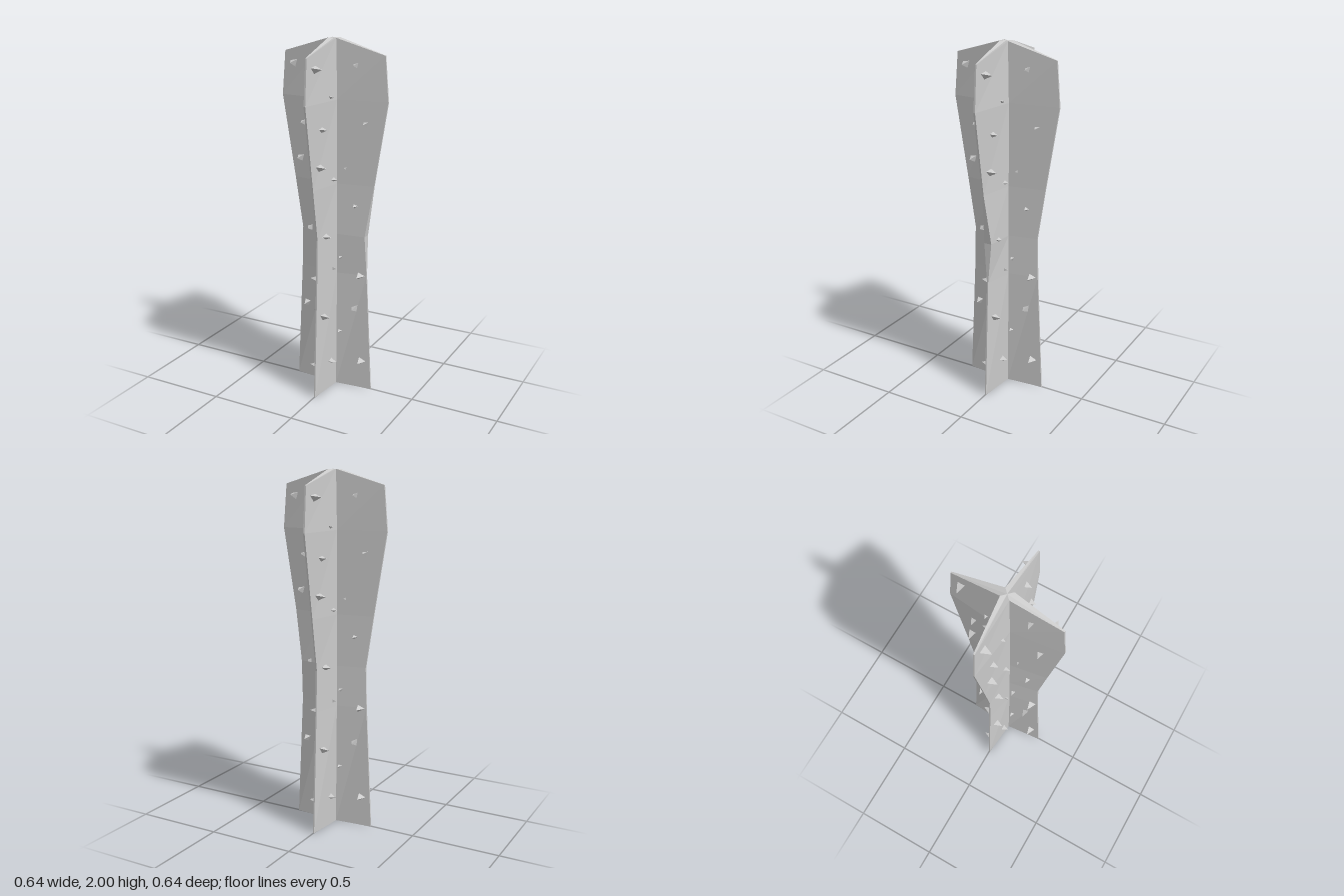
import * as THREE from 'three';

const material = new THREE.MeshStandardMaterial({ color: 0xcccccc, flatShading: true });

// Body levels: height at fin tip, height in valley, fin reach, valley offset, tip half width, bulge of the left fin tip
const LEVELS = [
  [0, 0, 0.24, 0.025, 0.004, 0.004],
  [0.7, 0.7, 0.206, 0.037, 0.004, 0.004],
  [0.93, 0.93, 0.2, 0.037, 0.004, 0.022],
  [1.22, 1.22, 0.245, 0.037, 0.004, 0.004],
  [1.68, 1.68, 0.32, 0.037, 0.005, 0.005],
  [1.92, 2.0, 0.3, 0.024, 0.004, 0.004],
];

// Four thin fins meeting in a cross, lofted through the levels and capped
function bodyGeometry() {
  const pos = [], index = [], n = 12;
  for (const [yTip, yValley, reach, valley, w, bulge] of LEVELS) {
    for (let k = 0; k < 4; k++) {
      const c = Math.cos(k * Math.PI / 2), s = Math.sin(k * Math.PI / 2);
      const t = k === 0 ? bulge : w;
      for (const [u, v, y] of [[reach, -t, yTip], [reach, t, yTip], [valley, valley, yValley]]) {
        pos.push(u * c - v * s, y, -(u * s + v * c));
      }
    }
  }
  const bottom = LEVELS.length * n, top = bottom + 1, last = (LEVELS.length - 1) * n;
  pos.push(0, 0, 0, 0, 2, 0);
  for (let j = 0; j < n; j++) {
    const j2 = (j + 1) % n;
    for (let i = 0; i < last; i += n) {
      index.push(i + j, i + j2, i + n + j2, i + j, i + n + j2, i + n + j);
    }
    index.push(bottom, j2, j, top, last + j, last + j2);
  }
  const geo = new THREE.BufferGeometry();
  geo.setAttribute('position', new THREE.Float32BufferAttribute(pos, 3));
  geo.setIndex(index);
  geo.computeVertexNormals();
  return geo;
}

// Spikes on one side of the cross: x, y, scale, roll
const SPIKES = [
  [-0.24, 1.86, 1, 0.2], [-0.1, 1.7, 0.8, 0], [-0.18, 1.54, 0.9, 0.3],
  [-0.2, 1.34, 1, 0.2], [-0.075, 1.25, 1, 0.5], [-0.14, 0.94, 0.95, 0.4],
  [-0.07, 0.735, 0.85, -0.5], [-0.165, 0.475, 1, 0], [-0.09, 0.17, 1, 0.5],
  [0.14, 1.865, 0.9, 0.3], [0.2, 1.56, 0.9, 0.1], [0.085, 1.31, 0.8, 0.4],
  [0.14, 1.1, 0.8, -0.4], [0.06, 0.795, 1, 0], [0.17, 0.695, 1, -0.5],
  [0.14, 0.495, 0.95, 0.4], [0.05, 0.34, 0.85, -0.4], [0.18, 0.17, 1, -0.5],
];

export function createModel() {
  const model = new THREE.Group();
  model.name = 'cactus';

  const body = new THREE.Mesh(bodyGeometry(), material);
  body.name = 'finnedBody';
  model.add(body);

  // Three-sided spike pointing along +z from its base
  const spikeGeo = new THREE.ConeGeometry(0.026, 0.052, 3);
  spikeGeo.rotateX(Math.PI / 2).translate(0, 0, 0.026);

  // The same spike pattern repeats on all four sides
  for (let k = 0; k < 4; k++) {
    const side = new THREE.Group();
    side.name = 'spikes' + (k + 1);
    side.rotation.y = k * Math.PI / 2;
    for (const [x, y, size, roll] of SPIKES) {
      const spike = new THREE.Mesh(spikeGeo, material);
      spike.name = 'spike';
      spike.position.set(x, y, 0.007);
      spike.rotation.z = roll;
      spike.scale.setScalar(size);
      side.add(spike);
    }
    model.add(side);
  }
  return model;
}
